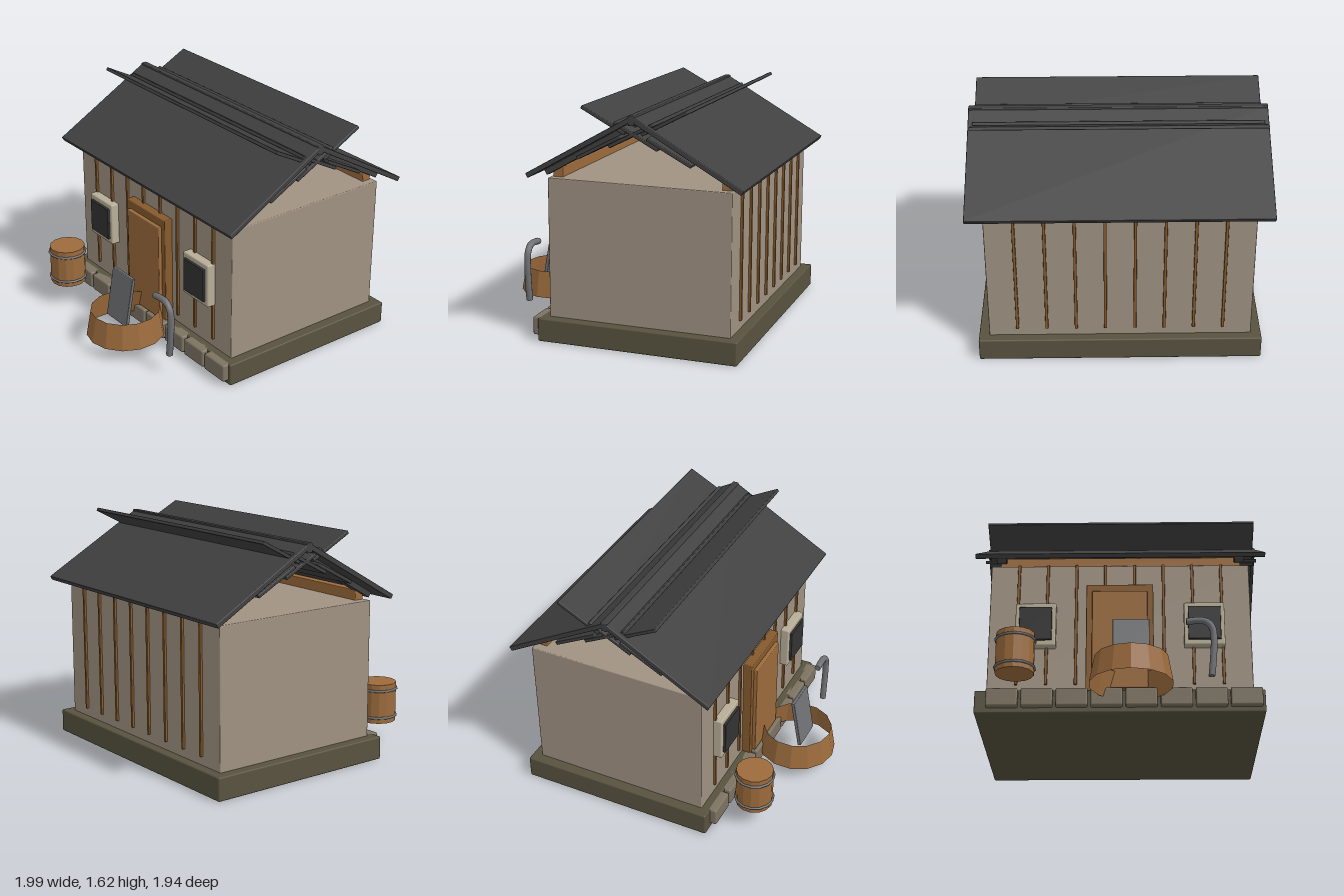
import * as THREE from 'three';
import { RoundedBoxGeometry } from 'three/addons/geometries/RoundedBoxGeometry.js';

const mat = (color, extra = {}) => new THREE.MeshStandardMaterial({ color, ...extra });
const M = {
  wall: mat(0xa09282), base: mat(0x58523f), stone: mat(0x7d7362),
  wood: mat(0x9c6b3c), darkWood: mat(0x865a2c), roof: mat(0x404040),
  frame: mat(0xb8ae98), pane: mat(0x333333), metal: mat(0x707174),
  barrel: mat(0x9c6b3c, { flatShading: true }),
  tub: mat(0x9c6b3c, { flatShading: true, side: THREE.DoubleSide }),
};

export function createModel() {
  const model = new THREE.Group();
  model.name = 'cabin';

  const add = (name, geometry, material, x, y, z, parent = model) => {
    const mesh = new THREE.Mesh(geometry, material);
    mesh.name = name;
    mesh.position.set(x, y, z);
    parent.add(mesh);
    return mesh;
  };
  // Softly bevelled box given by its extents
  const block = (name, material, [x0, x1], [y0, y1], [z0, z1], bevel = 0.006, parent = model) =>
    add(name, new RoundedBoxGeometry(x1 - x0, y1 - y0, z1 - z0, 2, bevel), material,
      (x0 + x1) / 2, (y0 + y1) / 2, (z0 + z1) / 2, parent);

  // Foundation with a row of facing stones
  block('foundation', M.base, [-0.96, 0.955], [0, 0.16], [-0.93, 0.46], 0.01);
  for (let i = 0; i < 8; i++) {
    const x = -0.777 + i * 0.2295;
    block('foundationStone', M.stone, [x - 0.105, x + 0.105], [0.035, 0.16], [0.42, 0.505], 0.012);
  }

  // Walls and battens on front and back
  block('walls', M.wall, [-0.89, 0.885], [0.155, 1.11], [-0.865, 0.4], 0.006);
  for (const z of [0.405, -0.87])
    for (let i = 0; i < 8; i++) {
      const x = -0.695 + i * 0.198;
      block('batten', M.darkWood, [x - 0.01, x + 0.01], [0.22, 1.11], [z - 0.011, z + 0.011], 0.003);
    }
  for (const z of [0.35, -0.815])
    block('wallPlate', M.wood, [-0.83, 0.83], [1.1, 1.18], [z - 0.035, z + 0.035]);

  // Door
  block('doorFrame', M.darkWood, [-0.23, 0.225], [0.155, 0.935], [0.39, 0.46]);
  block('door', M.wood, [-0.19, 0.185], [0.165, 0.875], [0.45, 0.485]);

  // Windows
  for (const x of [-0.57, 0.567]) {
    const window = new THREE.Group();
    window.name = 'window';
    window.position.set(x, 0.64, 0);
    model.add(window);
    block('windowFrame', M.frame, [-0.137, 0.137], [-0.157, 0.157], [0.39, 0.46], 0.01, window);
    block('windowPane', M.pane, [-0.11, 0.11], [-0.12, 0.12], [0.44, 0.478], 0.004, window);
  }

  // Roof halves around the ridge; the second is the first turned half a turn
  const ridgeZ = -0.231;
  const plank = (name, width, thick, from, to, x, parent) => {
    const dz = to[0] - from[0], dy = to[1] - from[1];
    const mesh = add(name, new RoundedBoxGeometry(width, thick, Math.hypot(dz, dy), 2, 0.005), M.roof,
      x, (from[1] + to[1]) / 2, (from[0] + to[0]) / 2, parent);
    mesh.rotation.x = -Math.atan2(dy, dz);
  };
  for (const turn of [0, Math.PI]) {
    const half = new THREE.Group();
    half.name = 'roofHalf';
    half.position.z = ridgeZ;
    half.rotation.y = turn;
    model.add(half);
    plank('roofSlab', 1.99, 0.034, [0, 1.555], [0.732, 1.138], 0, half);
    for (const x of [-0.82, 0.82])
      plank('rafter', 0.07, 0.04, [0, 1.515], [0.66, 1.137], x, half);
    // Overlapping courses that cross under the ridge and rise past it
    for (let i = 0; i < 3; i++) {
      const z = -0.204 + i * 0.2225, y = 1.53 - i * 0.09;
      plank('roofCourse', 1.93, 0.024, [z - 0.148, y + 0.078], [z + 0.148, y - 0.078], 0, half);
    }
  }
  block('ridgeBeam', M.roof, [-0.995, 0.995], [1.51, 1.575], [ridgeZ - 0.022, ridgeZ + 0.022]);

  // Barrel with hoops
  const barrel = new THREE.Group();
  barrel.name = 'barrel';
  barrel.position.set(-0.677, 0, 0.695);
  model.add(barrel);
  add('barrelBody', new THREE.CylinderGeometry(0.127, 0.127, 0.28, 14), M.barrel, 0, 0.315, 0, barrel);
  for (const y of [0.215, 0.41])
    add('barrelHoop', new THREE.TorusGeometry(0.13, 0.009, 8, 14), M.metal, 0, y, 0, barrel)
      .rotation.set(Math.PI / 2, 0, Math.PI / 2);

  // Open wash tub with a leaning board
  add('washTub', new THREE.CylinderGeometry(0.242, 0.275, 0.187, 14, 1, true), M.tub, 0.075, 0.188, 0.7);
  add('washBoard', new RoundedBoxGeometry(0.24, 0.36, 0.025, 2, 0.005), M.metal, 0.075, 0.377, 0.732)
    .rotation.x = -0.18;

  // Bent water pipe
  const path = new THREE.CatmullRomCurve3([
    [0.592, 0.155], [0.605, 0.28], [0.613, 0.42], [0.602, 0.5], [0.56, 0.543], [0.5, 0.548], [0.435, 0.54],
  ].map(([x, y]) => new THREE.Vector3(x, y, 0.695)));
  add('waterPipe', new THREE.TubeGeometry(path, 32, 0.023, 10), M.metal, 0, 0, 0);
  const capGeometry = new THREE.CircleGeometry(0.023, 10);
  add('pipeMouth', capGeometry, M.metal, 0.435, 0.54, 0.695).rotation.y = -Math.PI / 2;
  add('pipeFoot', capGeometry, M.metal, 0.592, 0.155, 0.695).rotation.x = Math.PI / 2;

  return model;
}
